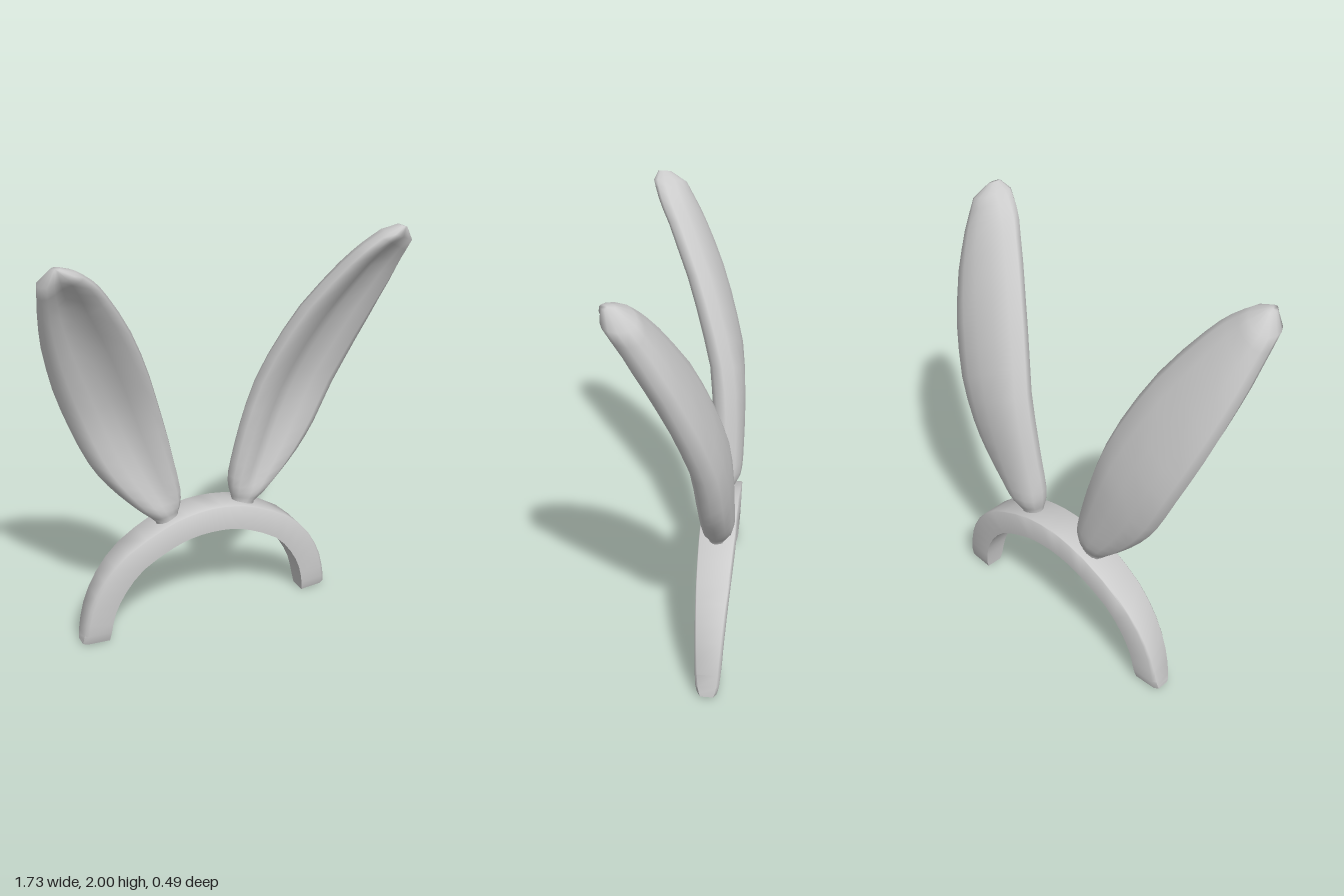
import * as THREE from 'three';
import { toCreasedNormals } from 'three/addons/utils/BufferGeometryUtils.js';

const material = new THREE.MeshStandardMaterial({ color: 0xcccccc });

// Closed skin over a list of rings (arrays of [x, y, z]), capped at both ends.
function loft(rings, flip = false) {
  const n = rings[0].length;
  const points = rings.flat();
  const index = [];
  const tri = (a, b, c) => (flip ? index.push(a, c, b) : index.push(a, b, c));
  for (let i = 0; i < rings.length - 1; i++) {
    for (let j = 0; j < n; j++) {
      const k = (j + 1) % n;
      const a = i * n + j, b = i * n + k, c = b + n, d = a + n;
      tri(a, b, c);
      tri(a, c, d);
    }
  }
  for (const i of [0, rings.length - 1]) {
    const mid = [0, 1, 2].map((c) => rings[i].reduce((s, p) => s + p[c], 0) / n);
    const m = points.push(mid) - 1;
    for (let j = 0; j < n; j++) {
      const a = i * n + j, b = i * n + ((j + 1) % n);
      if (i === 0) tri(m, b, a);
      else tri(m, a, b);
    }
  }
  const geometry = new THREE.BufferGeometry();
  geometry.setAttribute('position', new THREE.Float32BufferAttribute(points.flat(), 3));
  geometry.setIndex(index);
  geometry.computeVertexNormals();
  return geometry;
}

// Smooth spline through the rows of a table, every column on its own.
function refine(rows, steps) {
  const out = [];
  const last = rows.length - 1;
  for (let i = 0; i < last; i++) {
    const [p, q, r, s] = [Math.max(i - 1, 0), i, i + 1, Math.min(i + 2, last)].map((k) => rows[k]);
    for (let k = 0; k < steps; k++) {
      const t = k / steps;
      out.push(q.map((v, c) => v + 0.5 * t * (r[c] - p[c]
        + t * (2 * p[c] - 5 * v + 4 * r[c] - s[c] + t * (3 * (v - r[c]) + s[c] - p[c])))));
    }
  }
  out.push(rows[last]);
  return out;
}

function lerpTable(table, v) {
  for (let i = 1; i < table.length; i++) {
    const [a, za] = table[i - 1], [b, zb] = table[i];
    if (v <= b) return THREE.MathUtils.mapLinear(Math.max(v, a), a, b, za, zb);
  }
  return table[table.length - 1][1];
}

// Arched band: flat-sided strap, widest on top, with softened outer edges at the feet.
function createBand() {
  // inner x, inner y, outer x, outer y, half width in z, edge softening
  const half = [
    [0.54, 0.0, 0.675, 0.01, 0.042, 0.16],
    [0.533, 0.05, 0.668, 0.06, 0.055, 0.13],
    [0.51, 0.155, 0.635, 0.2, 0.061, 0.09],
    [0.455, 0.265, 0.56, 0.345, 0.068, 0.06],
    [0.36, 0.375, 0.435, 0.475, 0.076, 0.03],
    [0.21, 0.458, 0.25, 0.575, 0.083, 0.02],
    [0.11, 0.489, 0.13, 0.612, 0.084, 0.02],
  ];
  const mirrored = half.map(([a, b, c, d, ...rest]) => [-a, b, -c, d, ...rest]).reverse();
  const path = refine([...half, [0, 0.498, 0, 0.625, 0.083, 0.02], ...mirrored], 2);
  const rings = path.map(([ix, iy, ox, oy, w, c]) => {
    const e = 1 - 1.8 * c;
    const section = [[0, 1], [1 - c, 1], [1, e], [1, -e], [1 - c, -1], [0, -1]];
    return section.map(([t, z]) => [ix + (ox - ix) * t, iy + (oy - iy) * t, -0.162 + w * z]);
  });
  const mesh = new THREE.Mesh(toCreasedNormals(loft(rings), 0.95), material);
  mesh.name = 'headband';
  return mesh;
}

// Ear: softly dished front, rounded back, bending forward towards a blunt tip.
function createEar(side) {
  // inner x, inner y, outer x, outer y, thickness, dish amount
  const stations = [
    [0.15, 0.58, 0.26, 0.54, 0.7, 0],
    [0.148, 0.615, 0.265, 0.58, 0.6, 0],
    [0.137, 0.66, 0.325, 0.635, 0.92, 0.2],
    [0.133, 0.74, 0.4, 0.71, 1, 0.5],
    [0.165, 0.9, 0.5, 0.825, 1, 0.8],
    [0.215, 1.1, 0.588, 0.96, 1, 1],
    [0.3, 1.36, 0.675, 1.16, 1, 1],
    [0.42, 1.62, 0.757, 1.38, 1, 1],
    [0.56, 1.83, 0.82, 1.61, 1, 1],
    [0.64, 1.92, 0.85, 1.78, 1, 0.8],
    [0.718, 1.977, 0.866, 1.92, 1, 0.3],
    [0.785, 2.0, 0.82, 1.988, 0.4, 0],
  ];
  // forward bend: height, z
  const bend = [[0.55, -0.16], [0.7, -0.17], [0.9, -0.17], [1.05, -0.164], [1.2, -0.147],
    [1.4, -0.09], [1.6, -0.015], [1.8, 0.083], [1.95, 0.175], [2, 0.205]];
  const front = [[-1, 0.05], [-0.92, 0.65], [-0.72, 0.95], [-0.36, 0.6], [0, 0.12],
    [0.36, 0.6], [0.72, 0.95], [0.92, 0.65], [1, 0.05]];
  const back = [[0.86, -0.6], [0.48, -0.93], [0, -1.03], [-0.48, -0.93], [-0.86, -0.6]];

  const ringAt = ([ix, iy, ox, oy, thick, dish]) => {
    const place = (u, w) => {
      const t = (u + 1) / 2;
      const y = iy + (oy - iy) * t;
      return [side * (ix + (ox - ix) * t), y, lerpTable(bend, y) + w * thick * 0.075];
    };
    return [
      ...front.map(([u, w]) => place(u, THREE.MathUtils.lerp(Math.sqrt(1 - u * u), w, dish))),
      ...back.map(([u, w]) => place(u, w)),
    ];
  };
  // the last span stays straight, giving the faceted tip
  const rings = [...refine(stations.slice(0, -1), 2), stations[stations.length - 1]].map(ringAt);
  const mesh = new THREE.Mesh(loft(rings, side < 0), material);
  mesh.name = side > 0 ? 'leftEar' : 'rightEar';
  return mesh;
}

export function createModel() {
  const group = new THREE.Group();
  group.name = 'earHeadband';
  group.add(createBand(), createEar(1), createEar(-1));
  return group;
}
